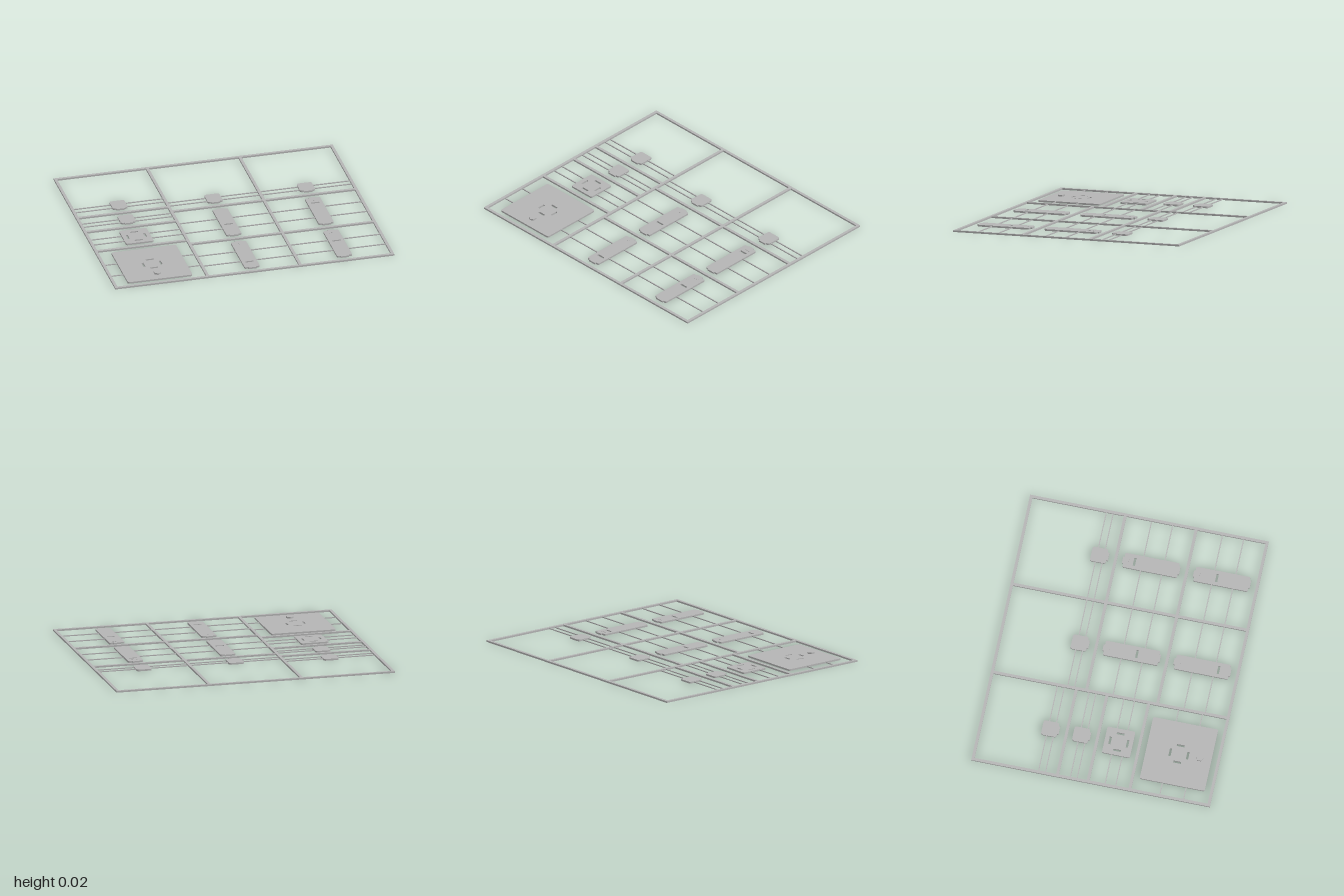
import * as THREE from 'three';

const T = 0.012; // sheet thickness
const COLUMNS = [-0.662, 0, 0.662]; // part centre line in each column
const SPANS = [[-0.98, -0.343], [-0.323, 0.32], [0.34, 0.98]]; // clear width of each column

export function createModel() {
  const root = new THREE.Group();
  const grey = new THREE.MeshStandardMaterial({ color: 0xb4b4b4 });
  grey.name = 'grey plastic';

  function add(parent, name, geometry) {
    const mesh = new THREE.Mesh(geometry, grey);
    mesh.name = name;
    parent.add(mesh);
    return mesh;
  }

  // Box from plan limits and heights
  function slab(parent, name, x0, x1, z0, z1, y0 = 0, y1 = T) {
    const mesh = add(parent, name, new THREE.BoxGeometry(x1 - x0, y1 - y0, z1 - z0));
    mesh.position.set((x0 + x1) / 2, (y0 + y1) / 2, (z0 + z1) / 2);
    return mesh;
  }

  // Rounded plate with rectangular slots, each [centre x, centre z, width, length]
  function plate(parent, name, cx, w, z0, z1, r, slots = []) {
    const a = cx - w / 2, b = cx + w / 2, lo = -z1, hi = -z0;
    const s = new THREE.Shape();
    s.moveTo(a + r, lo);
    s.lineTo(b - r, lo);
    s.quadraticCurveTo(b, lo, b, lo + r);
    s.lineTo(b, hi - r);
    s.quadraticCurveTo(b, hi, b - r, hi);
    s.lineTo(a + r, hi);
    s.quadraticCurveTo(a, hi, a, hi - r);
    s.lineTo(a, lo + r);
    s.quadraticCurveTo(a, lo, a + r, lo);
    for (const [x, z, sw, sl] of slots) {
      const h = new THREE.Path();
      h.moveTo(x - sw / 2, -z - sl / 2);
      h.lineTo(x - sw / 2, -z + sl / 2);
      h.lineTo(x + sw / 2, -z + sl / 2);
      h.lineTo(x + sw / 2, -z - sl / 2);
      h.closePath();
      s.holes.push(h);
    }
    const g = new THREE.ExtrudeGeometry(s, { depth: T, bevelEnabled: false, curveSegments: 4 });
    g.rotateX(-Math.PI / 2);
    return add(parent, name, g);
  }

  // Pair of thin runners reaching from the column edges to a plate
  function runners(col, cx, w, zs) {
    const [l, r] = SPANS[col];
    for (const z of zs) {
      slab(root, 'runner', l, cx - w / 2, z - 0.0035, z + 0.0035, 0.002, 0.009);
      slab(root, 'runner', cx + w / 2, r, z - 0.0035, z + 0.0035, 0.002, 0.009);
    }
  }

  // Outer frame and dividers
  const frame = new THREE.Group();
  frame.name = 'frame';
  root.add(frame);
  for (const s of [-1, 1]) {
    slab(frame, 'frameEnd', -1, 1, s * 0.835 - 0.01, s * 0.835 + 0.01);
    slab(frame, 'frameSide', s * 0.99 - 0.01, s * 0.99 + 0.01, -0.825, 0.825);
  }
  for (const x of [-0.333, 0.33]) slab(frame, 'divider', x - 0.01, x + 0.01, -0.825, 0.825);
  const crossBars = [[-0.238, -0.021, 0.275], [-0.168, 0.334], [-0.168, 0.334]];
  crossBars.forEach((list, c) => {
    for (const z of list) slab(frame, 'crossBar', SPANS[c][0], SPANS[c][1], z - 0.01, z + 0.01);
  });

  // Small square tiles with a tab on the front edge
  const tiles = [
    [0, -0.412, -0.302, [-0.372, -0.323]],
    [0, -0.192, -0.082, [-0.147, -0.099]],
    [1, -0.342, -0.23, [-0.302, -0.254]],
    [2, -0.342, -0.23, [-0.302, -0.254]],
  ];
  for (const [c, z0, z1, zs] of tiles) {
    const g = new THREE.Group();
    g.name = 'smallTile';
    root.add(g);
    const cx = COLUMNS[c];
    plate(g, 'tile', cx, 0.108, z0, z1, 0.017);
    slab(g, 'tab', cx - 0.03, cx + 0.03, z1, z1 + 0.011);
    runners(c, cx, 0.108, zs);
  }

  // Long strips: column, z start, z end, slot z, number of dots, runner positions
  const strips = [
    [1, -0.11, 0.275, 0.12, 1, [0.019, 0.168]],
    [2, -0.11, 0.275, -0.035, 3, [0.019, 0.168]],
    [1, 0.392, 0.775, 0.698, 1, [0.521, 0.671]],
    [2, 0.392, 0.775, 0.548, 3, [0.521, 0.671]],
  ];
  for (const [c, z0, z1, slotZ, dots, zs] of strips) {
    const g = new THREE.Group();
    g.name = 'longStrip';
    root.add(g);
    const cx = COLUMNS[c];
    plate(g, 'strip', cx, 0.108, z0, z1, 0.01, [[cx, slotZ, 0.058, 0.016]]);
    slab(g, 'backTab', cx - 0.024, cx + 0.024, z0 - 0.01, z0);
    slab(g, 'frontTab', cx - 0.03, cx + 0.03, z1, z1 + 0.01);
    for (let i = 0; i < dots; i++) {
      const dot = add(g, 'dot', new THREE.CylinderGeometry(0.006, 0.006, 0.002, 8));
      dot.position.set(cx + (i - (dots - 1) / 2) * 0.016, T + 0.001, z0 + 0.034);
    }
    runners(c, cx, 0.108, zs);
  }

  // Square plates with four slots around a centre
  const ringSlots = (cx, cz) => [
    [cx, cz - 0.062, 0.055, 0.016], [cx, cz + 0.062, 0.055, 0.016],
    [cx - 0.062, cz, 0.014, 0.055], [cx + 0.062, cz, 0.014, 0.055],
  ];
  const cx = COLUMNS[0];
  plate(root, 'mediumPlate', cx, 0.196, 0.03, 0.228, 0.012, ringSlots(cx, 0.13));
  runners(0, cx, 0.196, [0.099, 0.174]);
  plate(root, 'largePlate', cx, 0.463, 0.326, 0.786, 0.014, ringSlots(cx, 0.556));
  runners(0, cx, 0.463, [0.487, 0.655]);

  // Hexagonal peg on the large plate
  const peg = add(root, 'hexPeg', new THREE.CylinderGeometry(0.026, 0.026, 0.011, 6).toNonIndexed());
  peg.geometry.computeVertexNormals();
  peg.position.set(cx, T + 0.0055, 0.704);

  return root;
}
